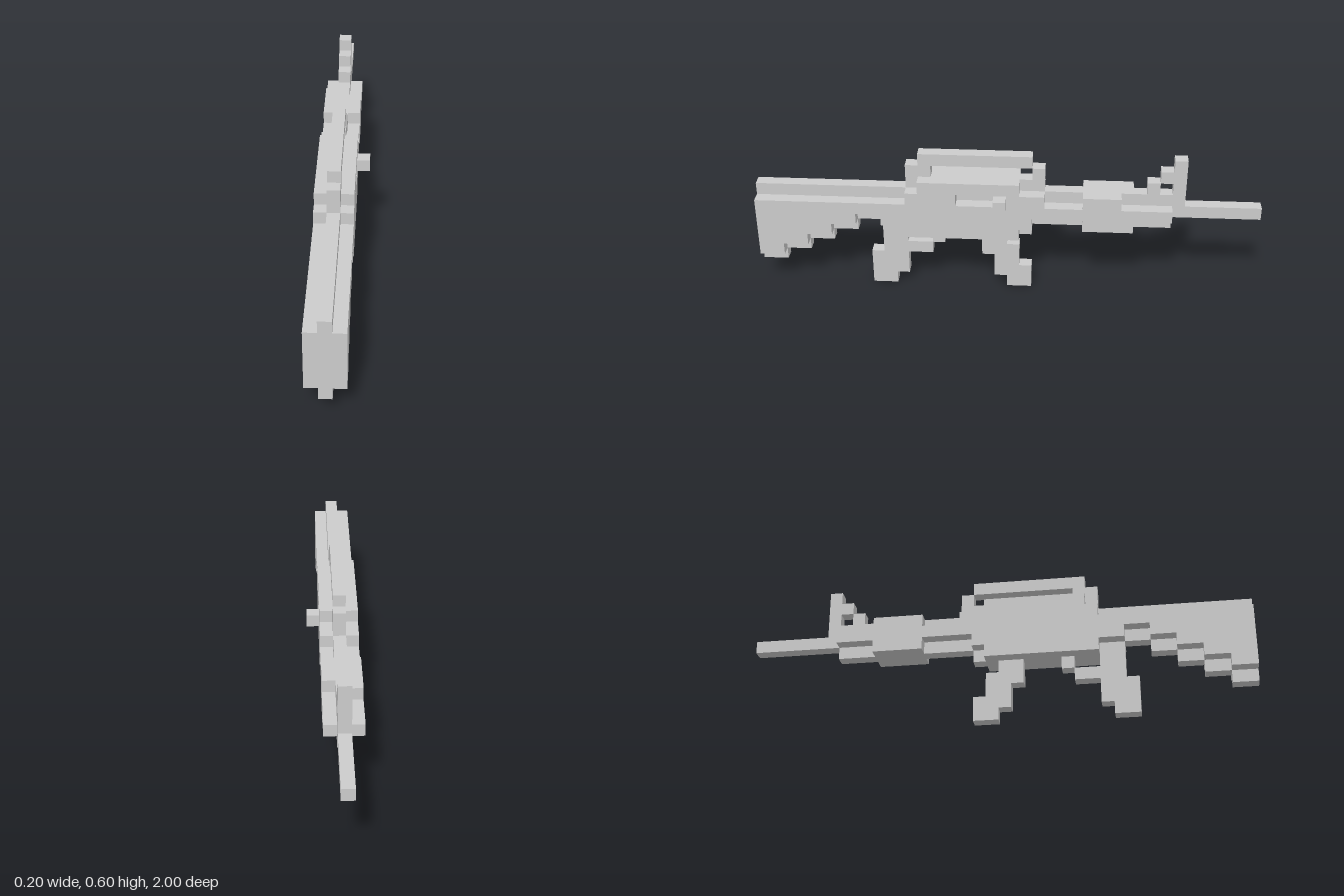
import * as THREE from 'three';

const U = 0.05; // one block
const material = new THREE.MeshStandardMaterial({ color: 0xcccccc, flatShading: true });

// Outlines are [z, y] in blocks, extruded one block along x from column x
const path = (pts) => pts.map(([z, y]) => new THREE.Vector2(z * U, y * U));
const rect = (z0, z1, y0, y1) => [[z0, y0], [z1, y0], [z1, y1], [z0, y1]];

export function createModel() {
  const model = new THREE.Group();
  const slab = (name, x, outline, hole) => {
    const shape = new THREE.Shape(path(outline));
    if (hole) shape.holes.push(new THREE.Path(path(hole)));
    const geo = new THREE.ExtrudeGeometry(shape, { depth: U, bevelEnabled: false });
    geo.rotateY(-Math.PI / 2).translate((x + 1) * U, 0, 0);
    const mesh = new THREE.Mesh(geo, material);
    mesh.name = name;
    model.add(mesh);
  };

  // Centre column: stock with stepped underside
  slab('stockCore', -1, [[20, 9], [8, 9], [8, 6], [12, 6], [12, 5], [14, 5], [14, 4],
    [16, 4], [16, 3], [18, 3], [18, 2], [20, 2]]);

  // Receiver with carry handle
  slab('receiverAndCarryHandle', -1, [[8, 5], [8, 11], [7, 11], [7, 12], [-2, 12], [-2, 11],
    [-3, 11], [-3, 6], [-2, 6], [-2, 5]], rect(-2, 6, 10, 11));

  // Fore-end and barrel
  slab('foreEndCore', -1, rect(-13, -3, 6, 9));
  slab('barrel', -1, rect(-20, -13, 7, 8));

  // Stepped front sight
  slab('sightLowerStep', -1, rect(-12, -11, 9, 10));
  slab('sightUpperStep', -1, rect(-13, -12, 10, 11));
  slab('sightPost', -1, rect(-14, -13, 8, 12));

  // Magazine curving forward
  slab('magazine', -1, [[2, 5], [2, 3], [1, 3], [1, 1], [0, 1], [0, 0], [-2, 0], [-2, 2],
    [-1, 2], [-1, 4], [0, 4], [0, 5]]);

  // Grip and trigger guard
  slab('grip', -1, [[10, 6], [10, 3], [11, 3], [11, 0], [9, 0], [9, 1], [8, 1], [8, 6]]);
  slab('triggerGuardBottom', -1, rect(6, 8, 3, 4));
  slab('triggerGuardFront', -1, rect(5, 6, 4, 5));

  // Side panels; the raised fore-end pad ends at z = padEnd
  const sidePanel = (padEnd) => [[20, 8], [8, 8], [8, 9], [7, 9], [7, 10], [-1, 10], [-1, 9],
    [-3, 9], [-3, 8], [-6, 8], [-6, 9], [padEnd, 9], [padEnd, 8], [-13, 8], [-13, 7], [-10, 7],
    [-10, 6], [-6, 6], [-6, 7], [-2, 7], [-2, 6], [-1, 6], [-1, 5], [8, 5], [8, 6], [10, 6],
    [10, 7], [12, 7], [12, 6], [14, 6], [14, 5], [16, 5], [16, 4], [18, 4], [18, 3], [20, 3]];
  slab('leftSidePanel', 0, sidePanel(-9), rect(1, 4, 8, 9)); // with ejection slot
  slab('rightSidePanel', -2, sidePanel(-10));

  // Bolt handle
  slab('boltHandle', 1, rect(0, 1, 8, 9));

  return model;
}
